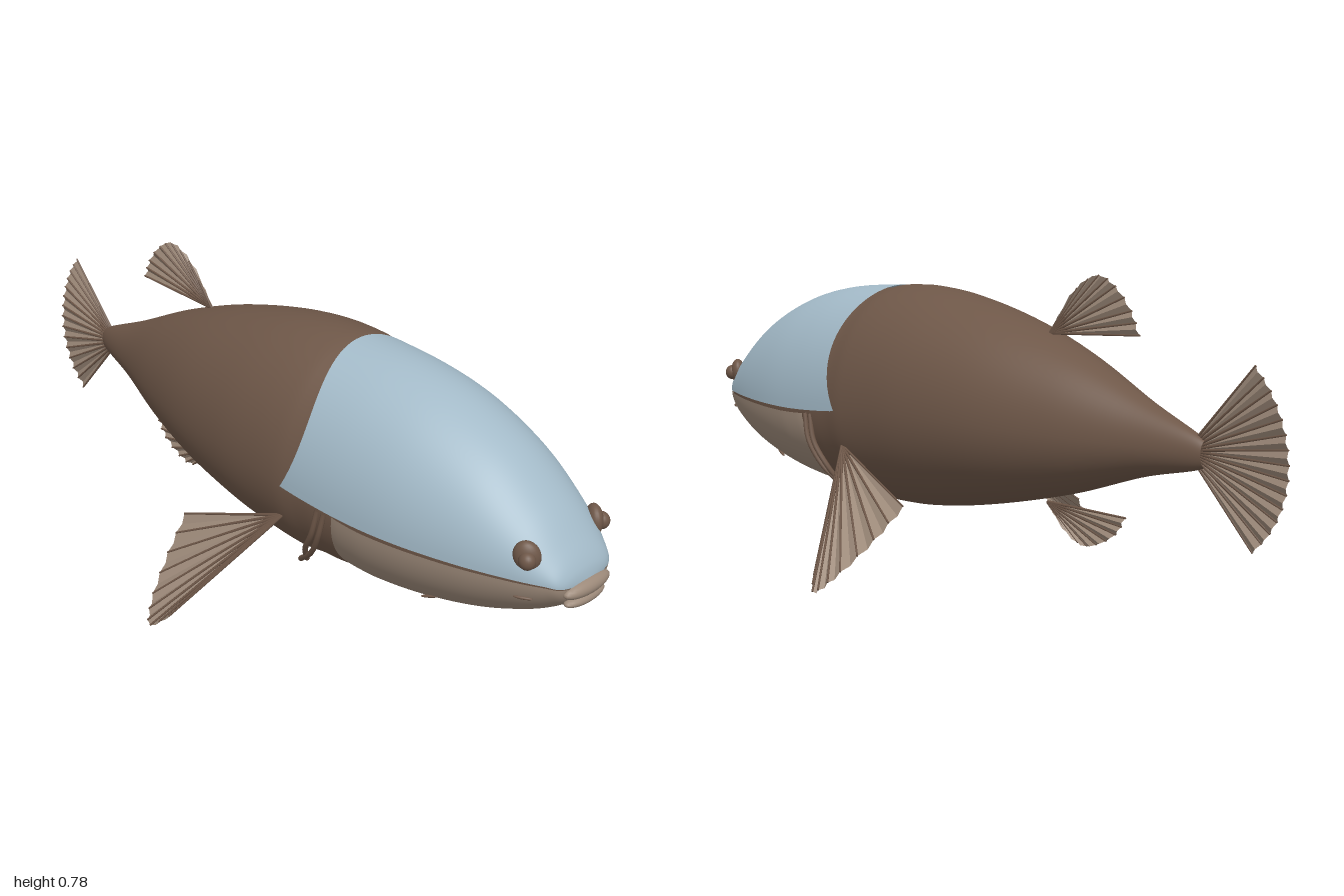
import * as THREE from 'three';
import { mergeVertices } from 'three/addons/utils/BufferGeometryUtils.js';

const mat = (name, color, side = THREE.FrontSide) => {
  const m = new THREE.MeshStandardMaterial({ color, side });
  m.name = name;
  return m;
};

// Body stations: x, top y, widest y, bottom y, half width
const ROWS = [
  [-0.776, 0.395, 0.394, 0.393, 0.001], [-0.77, 0.428, 0.395, 0.36, 0.02],
  [-0.6, 0.5, 0.4, 0.318, 0.075], [-0.4, 0.592, 0.408, 0.252, 0.148],
  [-0.2, 0.663, 0.417, 0.2, 0.207], [0, 0.711, 0.422, 0.16, 0.24],
  [0.15, 0.729, 0.42, 0.143, 0.25], [0.28, 0.725, 0.403, 0.145, 0.252],
  [0.45, 0.713, 0.392, 0.158, 0.245], [0.6, 0.681, 0.39, 0.177, 0.228],
  [0.75, 0.617, 0.39, 0.212, 0.193], [0.87, 0.527, 0.389, 0.259, 0.15],
  [0.94, 0.453, 0.385, 0.3, 0.112], [0.972, 0.408, 0.377, 0.332, 0.078],
  [0.983, 0.371, 0.37, 0.369, 0.002],
];

// Smooth profile through the stations
const rowAt = (t) => {
  const i = Math.min(Math.floor(t), ROWS.length - 2), f = t - i;
  const r = (k) => ROWS[Math.max(0, Math.min(ROWS.length - 1, k))];
  return ROWS[0].map((_, c) => {
    const [a, b, d, e] = [r(i - 1)[c], r(i)[c], r(i + 1)[c], r(i + 2)[c]];
    return b + 0.5 * f * (d - a + f * (2 * a - 5 * b + 4 * d - e + f * (3 * (b - d) + e - a)));
  });
};
const paramAt = (x) => {
  let lo = 0, hi = ROWS.length - 1;
  for (let k = 0; k < 30; k++) {
    const m = (lo + hi) / 2;
    if (rowAt(m)[0] < x) lo = m; else hi = m;
  }
  return lo;
};
const skin = (t, a, scale) => {
  const [x, top, mid, bot, half] = rowAt(t);
  const s = Math.sin(a);
  return [x, mid + scale * s * (s > 0 ? top - mid : mid - bot), scale * half * Math.cos(a)];
};

// Sheet of skin between two angles, with a shaped rear edge
function skinSheet(a0, a1, startX, scaleOf, nu = 64, nv = 48) {
  const pos = [], index = [];
  for (let i = 0; i <= nu; i++) {
    for (let j = 0; j <= nv; j++) {
      const a = a0 + (a1 - a0) * j / nv;
      const t0 = paramAt(startX(Math.abs(Math.sin(a))));
      const t = t0 + (ROWS.length - 1 - t0) * i / nu;
      pos.push(...skin(t, a, scaleOf(rowAt(t)[0], i / nu)));
      if (i < nu && j < nv) {
        const p = i * (nv + 1) + j, q = p + nv + 1;
        index.push(p, q, p + 1, q, q + 1, p + 1);
      }
    }
  }
  let g = new THREE.BufferGeometry();
  g.setAttribute('position', new THREE.Float32BufferAttribute(pos, 3));
  g.setIndex(index);
  g = mergeVertices(g, 1e-5);
  g.computeVertexNormals();
  return g;
}

export function createModel() {
  const brown = mat('brown', 0x6e5748);
  const blue = mat('paleBlue', 0xa3bac8, THREE.DoubleSide);
  const beige = mat('beige', 0x9c8979, THREE.DoubleSide);
  const fish = new THREE.Group();
  fish.name = 'fish';
  const add = (name, geo, material, parent = fish) => {
    const m = new THREE.Mesh(geo, material);
    m.name = name;
    parent.add(m);
    return m;
  };
  const V = (p) => new THREE.Vector3(...p);
  const blob = (name, material, p, s) => {
    const m = add(name, new THREE.SphereGeometry(1, 24, 16), material);
    m.position.set(...p);
    m.scale.set(...s);
    return m;
  };

  // Trunk, continuing as a slimmer core under the head plates
  const step = THREE.MathUtils.smoothstep;
  add('body', skinSheet(0, Math.PI * 2, () => -0.776,
    (x) => 1 - 0.025 * step(x, 0.24, 0.31) - 0.03 * step(x, 0.36, 0.45), 90, 64), brown);

  // Head shield and throat
  add('headShield', skinSheet(0, Math.PI, (s) => 0.255 + 0.19 * s - 0.175 * s * s, () => 1), blue);
  add('throat', skinSheet(Math.PI + 0.05, Math.PI * 2 - 0.05, (s) => 0.41 - 0.05 * s,
    (x, u) => 0.945 + 0.045 * Math.sqrt(Math.min(1, u / 0.1))), beige);

  // Lips
  blob('upperLip', beige, [0.975, 0.36, 0], [0.024, 0.021, 0.077]);
  blob('lowerLip', beige, [0.972, 0.331, 0], [0.022, 0.015, 0.067]);

  // Fan fin: pleated web with raised rays meeting at the root
  function fin(name, root, rimPoints, normal, rays) {
    const group = new THREE.Group();
    group.name = name;
    fish.add(group);
    const curve = new THREE.CatmullRomCurve3(rimPoints.map(V));
    const r = V(root), n = V(normal).normalize(), pos = [];
    const rim = (i) => curve.getPoint(i / (2 * rays))
      .addScaledVector(n, i % 2 ? -0.004 : 0.004);
    for (let i = 0; i < 2 * rays; i++) {
      pos.push(...r.toArray(), ...rim(i).toArray(), ...rim(i + 1).toArray());
    }
    const web = new THREE.BufferGeometry();
    web.setAttribute('position', new THREE.Float32BufferAttribute(pos, 3));
    web.computeVertexNormals();
    add(name + 'Web', web, beige, group);
    for (let i = 0; i <= 2 * rays; i += 2) {
      const end = rim(i), dir = end.clone().sub(r);
      const ray = add(name + 'Ray', new THREE.CylinderGeometry(0.0025, 0.004, dir.length(), 6), brown, group);
      ray.position.copy(r).add(end).multiplyScalar(0.5);
      ray.quaternion.setFromUnitVectors(new THREE.Vector3(0, 1, 0), dir.normalize());
    }
  }

  const tailRim = [];
  for (let i = 0; i <= 8; i++) {
    const a = (i / 8 - 0.5) * 1.7;
    tailRim.push([-0.728 - 0.272 * Math.cos(a), 0.397 - 0.275 * Math.sin(a), 0.006 * Math.sin(a * 3)]);
  }
  fin('tailFin', [-0.725, 0.397, 0], tailRim, [0, 0, 1], 14);
  fin('dorsalFin', [-0.29, 0.632, 0], [[-0.575, 0.645, 0], [-0.545, 0.7, 0.005], [-0.49, 0.755, 0.009],
    [-0.435, 0.778, 0.011], [-0.37, 0.745, 0.006], [-0.3, 0.65, 0]], [0, 0, 1], 10);
  fin('analFin', [-0.285, 0.212, 0], [[-0.54, 0.21, 0], [-0.515, 0.17, 0], [-0.46, 0.135, 0],
    [-0.405, 0.121, 0], [-0.35, 0.145, 0], [-0.29, 0.205, 0]], [0, 0, 1], 9);

  for (const s of [1, -1]) {
    const side = s > 0 ? 'left' : 'right';
    // The +z flank is the fish's own right when it swims toward +x; names follow the frame
    const label = (part) => (side === 'left' ? 'front' : 'back') + part;

    // Pectoral fin
    fin(label('PectoralFin'), [0.245, 0.315, 0.232 * s],
      [[-0.07, 0.205, 0.285 * s], [-0.045, 0.12, 0.37 * s], [-0.005, 0.04, 0.455 * s],
        [0.03, 0.005, 0.488 * s], [0.07, 0.035, 0.455 * s]], [0, 0.65, 0.76 * s], 9);

    // Eye with a bulging pupil
    const eye = blob(label('Eye'), brown, [0.897, 0.445, 0.117 * s], [0.031, 0.037, 0.02]);
    eye.rotation.set(0, 0.6 * s, 0.25);
    blob(label('Pupil'), brown, [0.908, 0.442, 0.13 * s], [0.02, 0.021, 0.019]);

    // Gill bars hanging behind the throat
    [0, 0.022].forEach((d, k) => {
      const path = new THREE.CatmullRomCurve3([[0.395 - d, 0.385, 0.24], [0.378 - d, 0.315, 0.242],
        [0.34 - d, 0.25, 0.226], [0.275 + d, 0.192 + d * 0.5, 0.2]].map(([x, y, z]) => V([x, y, z * s])));
      add(label('GillBar' + (k + 1)), new THREE.TubeGeometry(path, 24, 0.007, 8), brown);
    });

    // Small slits on the cheek and throat
    for (const [part, x, y, len, tilt] of [['CheekSlit', 0.9, 0.343, 0.022, 0], ['ThroatSlit', 0.65, 0.235, 0.026, 0.3]]) {
      const [, , mid, bot, half] = rowAt(paramAt(x));
      const z = 0.99 * half * Math.sqrt(1 - ((mid - y) / (mid - bot)) ** 2);
      const slit = blob(label(part), brown, [x, y, z * s], [len, 0.004, 0.005]);
      slit.rotation.set(0, (part === 'CheekSlit' ? 0.5 : 0.3) * s, tilt);
    }
  }
  return fish;
}
